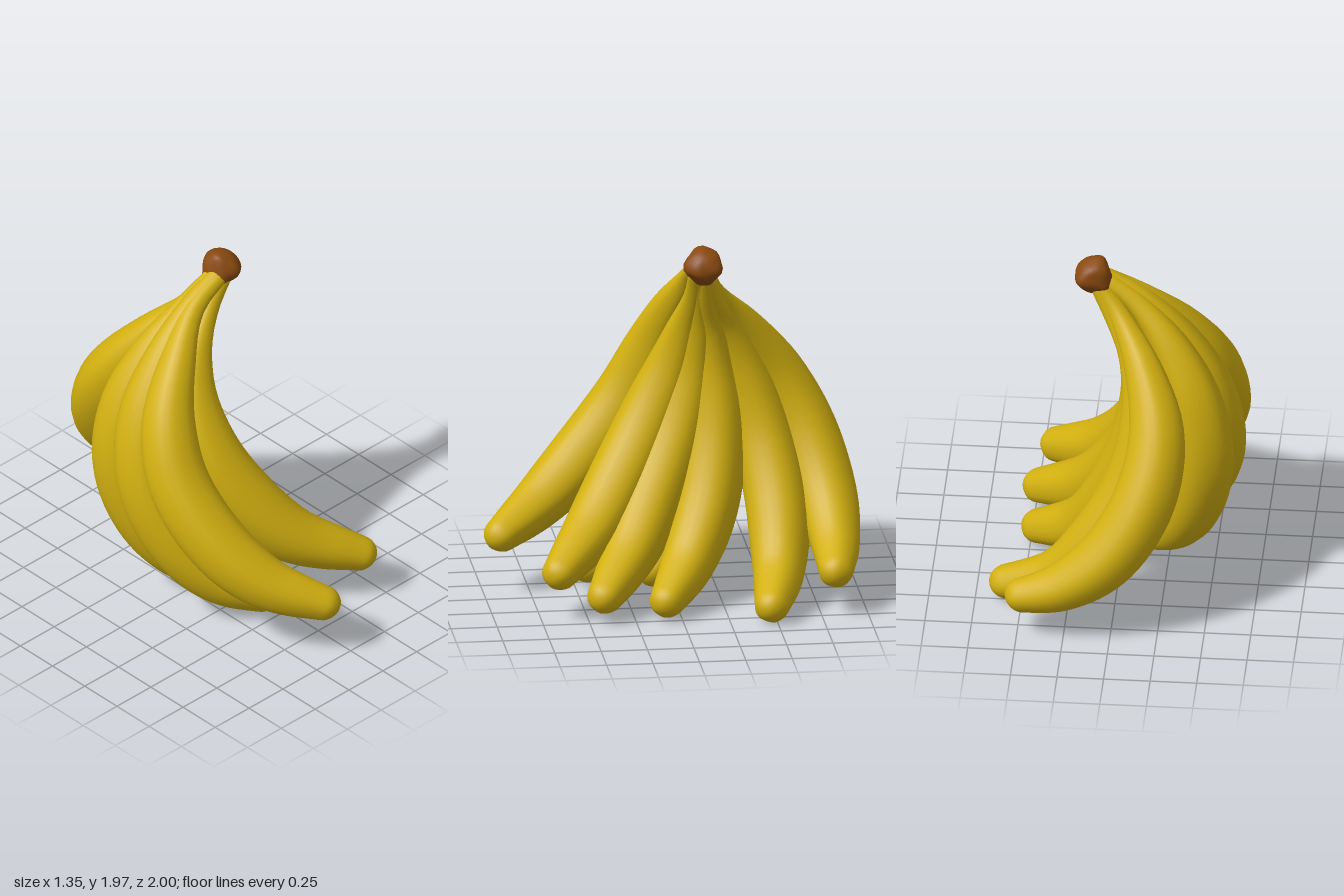
import * as THREE from 'three';
import { mergeVertices } from 'three/addons/utils/BufferGeometryUtils.js';

const peel = new THREE.MeshStandardMaterial({ color: 0xd2b010 });
peel.name = 'yellow peel';
const bark = new THREE.MeshStandardMaterial({ color: 0x8a4a10 });
bark.name = 'brown stem';

// Bends a cylinder along a path; radii are evenly spaced, the last bit is rounded off
function loft(points, radii, dome, shape) {
  const path = new THREE.CatmullRomCurve3(points.map(p => new THREE.Vector3(...p)), false, 'centripetal');
  const profile = new THREE.SplineCurve(radii.map((r, i) => new THREE.Vector2(i, r)));
  const a = path.getPoint(0);
  const planeNormal = path.getPoint(0.5).sub(a).cross(path.getPoint(1).sub(a)).normalize();

  const geo = new THREE.CylinderGeometry(1, 1, 1, 24, 48, true);
  geo.deleteAttribute('uv');
  geo.deleteAttribute('normal');
  const pos = geo.attributes.position;
  for (let i = 0; i < pos.count; i++) {
    const t = THREE.MathUtils.clamp(1 - Math.pow(0.5 - pos.getY(i), 1.7), 0, 1);
    const x = pos.getX(i), z = pos.getZ(i);
    const k = Math.max(0, (t - 1 + dome) / dome);
    const r = profile.getPoint(t).y * Math.sqrt(Math.max(0, 1 - k * k)) * shape(Math.atan2(z, x), t);
    const tangent = path.getTangentAt(t);
    const side = tangent.clone().cross(planeNormal).normalize();
    const up = side.clone().cross(tangent);
    const p = path.getPointAt(t).addScaledVector(side, x * r).addScaledVector(up, z * r);
    pos.setXYZ(i, p.x, p.y, p.z);
  }
  const merged = mergeVertices(geo, 1e-5);
  merged.computeVertexNormals();
  return merged;
}

// Centre lines from the stem to the tip
const bananas = {
  frontOuterBanana: [[0.12, 1.86, -0.12], [-0.1, 1.74, -0.11], [-0.3, 1.52, -0.03], [-0.45, 1.25, 0.06],
    [-0.505, 0.95, 0.2], [-0.45, 0.65, 0.44], [-0.32, 0.45, 0.67], [-0.05, 0.3, 0.97]],
  middleOuterBanana: [[0.12, 1.87, -0.13], [-0.1, 1.74, -0.14], [-0.3, 1.5, -0.14], [-0.45, 1.18, -0.12],
    [-0.5, 0.82, -0.04], [-0.43, 0.48, 0.12], [-0.29, 0.25, 0.29], [-0.05, 0.1, 0.49]],
  backOuterBanana: [[0.12, 1.87, -0.15], [-0.08, 1.73, -0.18], [-0.27, 1.5, -0.24], [-0.41, 1.18, -0.29],
    [-0.455, 0.82, -0.28], [-0.39, 0.47, -0.18], [-0.26, 0.22, -0.04], [-0.03, 0.07, 0.14]],
  innerBanana1: [[0.13, 1.84, -0.12], [0.02, 1.68, -0.12], [-0.12, 1.45, -0.08], [-0.19, 1.2, -0.01],
    [-0.18, 0.95, 0.1], [-0.08, 0.68, 0.25], [0.1, 0.43, 0.43], [0.47, 0.23, 0.7]],
  innerBanana2: [[0.13, 1.84, -0.14], [0.03, 1.68, -0.15], [-0.09, 1.45, -0.16], [-0.16, 1.2, -0.13],
    [-0.14, 0.9, -0.05], [-0.02, 0.58, 0.09], [0.18, 0.31, 0.24], [0.55, 0.11, 0.46]],
  innerBanana3: [[0.13, 1.84, -0.16], [0.05, 1.68, -0.18], [-0.08, 1.45, -0.23], [-0.14, 1.2, -0.25],
    [-0.11, 0.88, -0.25], [0.02, 0.52, -0.19], [0.2, 0.25, -0.07], [0.53, 0.07, 0.12]],
  innerBanana4: [[0.13, 1.84, -0.17], [0.04, 1.68, -0.21], [-0.1, 1.45, -0.33], [-0.16, 1.15, -0.43],
    [-0.12, 0.83, -0.51], [0.06, 0.48, -0.56], [0.3, 0.21, -0.54], [0.67, 0.07, -0.45]],
  innerBanana5: [[0.13, 1.84, -0.17], [0.02, 1.7, -0.22], [-0.14, 1.45, -0.4], [-0.23, 1.15, -0.59],
    [-0.18, 0.84, -0.74], [0, 0.53, -0.83], [0.25, 0.33, -0.85], [0.56, 0.22, -0.82]],
};
const bananaRadii = [0.045, 0.062, 0.105, 0.145, 0.165, 0.17, 0.16, 0.127, 0.085];

export function createModel() {
  const group = new THREE.Group();
  group.name = 'bananaBunch';

  function add(name, geometry, material) {
    const mesh = new THREE.Mesh(geometry, material);
    mesh.name = name;
    group.add(mesh);
  }

  // Bananas with faint ridges
  for (const [name, points] of Object.entries(bananas)) {
    add(name, loft(points, bananaRadii, 0.035, a => 1 + 0.02 * Math.cos(5 * a)), peel);
  }

  // Knobbly cut stem, closed at both ends
  const knobs = (a, t) => 1 + 0.06 * Math.sin(3 * a + 5 * t) + 0.04 * Math.cos(5 * a - 9 * t);
  add('stem', loft([[0.06, 1.76, -0.15], [0.125, 1.85, -0.155], [0.205, 1.945, -0.15]],
    [0, 0.06, 0.085, 0.1, 0.1, 0.09], 0.3, knobs), bark);

  return group;
}
